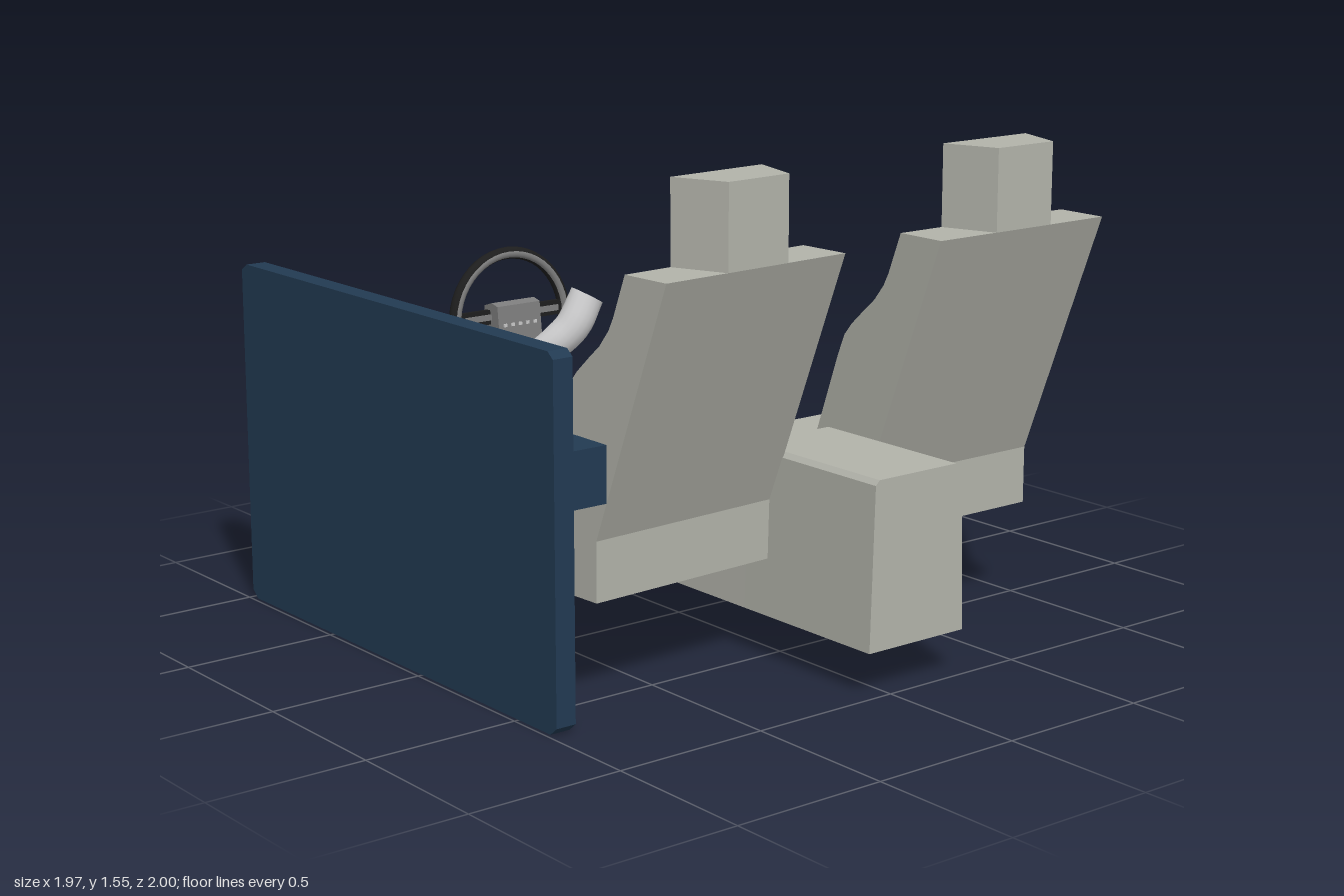
import * as THREE from 'three';
import { toCreasedNormals } from 'three/addons/utils/BufferGeometryUtils.js';

const mat = (name, color, extra = {}) => new THREE.MeshStandardMaterial({ name, color, ...extra });
const V = (x, y, z) => new THREE.Vector3(x, y, z);

export function createModel() {
  const seatGrey = mat('seat grey', 0xb2b3aa);
  const doorBlue = mat('door blue', 0x223a52);
  const black = mat('wheel black', 0x1d1d1d);
  const hubGrey = mat('hub grey', 0x7c7c7c);
  const buttonGrey = mat('button light grey', 0xc4c4c4);
  const skin = mat('arm pale grey', 0xcfcfd0, { side: THREE.DoubleSide });
  const model = new THREE.Group();

  const add = (parent, name, geometry, material, x = 0, y = 0, z = 0) => {
    const m = new THREE.Mesh(geometry, material);
    m.name = name;
    m.position.set(x, y, z);
    parent.add(m);
    return m;
  };
  const group = (name, parent = model) => {
    const g = new THREE.Group();
    g.name = name;
    parent.add(g);
    return g;
  };

  // Skin between equal rings, each running counter-clockwise about the loft direction
  const loft = (rings, capStart, capEnd, crease) => {
    const n = rings[0].length, pos = rings.flat().flatMap(p => p.toArray()), idx = [];
    const last = (rings.length - 1) * n;
    for (let i = 0; i < last; i += n) {
      for (let j = 0; j < n; j++) {
        const a = i + j, b = i + (j + 1) % n;
        idx.push(a, b, a + n, b, b + n, a + n);
      }
    }
    for (let j = 1; j < n - 1; j++) {
      if (capStart) idx.push(0, j + 1, j);
      if (capEnd) idx.push(last, last + j, last + j + 1);
    }
    const g = new THREE.BufferGeometry();
    g.setAttribute('position', new THREE.Float32BufferAttribute(pos, 3));
    g.setIndex(idx);
    if (crease) return toCreasedNormals(g, crease);
    g.computeVertexNormals();
    return g;
  };

  // Tapered tube along a smooth path; radii are spread evenly along it
  const limb = (points, radii, steps, sides, capEnd) => {
    const curve = new THREE.CatmullRomCurve3(points);
    const f = curve.computeFrenetFrames(steps);
    const rings = [];
    for (let i = 0; i <= steps; i++) {
      const t = i / steps, c = curve.getPointAt(t);
      const k = Math.min(t * (radii.length - 1), radii.length - 1.001), k0 = Math.floor(k);
      const r = THREE.MathUtils.lerp(radii[k0], radii[k0 + 1], k - k0);
      rings.push(Array.from({ length: sides }, (_, j) => {
        const a = j / sides * Math.PI * 2;
        return c.clone().addScaledVector(f.normals[i], r * Math.cos(a)).addScaledVector(f.binormals[i], r * Math.sin(a));
      }));
    }
    return loft(rings, false, capEnd);
  };

  const polygon = pts => new THREE.Shape(pts.map(p => new THREE.Vector2(...p)));
  // Side profile of [z, y] points extruded across x
  const sideExtrude = (pts, x0, x1) =>
    new THREE.ExtrudeGeometry(polygon(pts.map(([z, y]) => [-z, y])), { depth: x1 - x0, bevelEnabled: false })
      .rotateY(Math.PI / 2).translate(x0, 0, 0);

  // ---- Seats ----
  const half = 0.343;
  const cushionGeo = sideExtrude([[-0.54, 0.32], [0.24, 0.32], [0.24, 0.505], [-0.5, 0.505], [-0.53, 0.495], [-0.54, 0.475]], -half, half);
  // backrest rings: [height, bolster depth]
  const stations = [[0.505, 0.1], [0.7, 0.105], [0.88, 0.11], [0.95, 0.108], [0.99, 0.09], [1.04, 0.055], [1.08, 0.025], [1.13, 0.005], [1.17, 0], [1.3, 0]];
  const backGeo = loft(stations.map(([y, depth]) => {
    const lean = (y - 0.505) * 0.39;
    const ring = [];
    for (let i = 0; i <= 24; i++) {
      const x = half - i / 24 * 2 * half;
      ring.push(V(x, y, 0.06 + lean - depth * THREE.MathUtils.smoothstep(Math.abs(x), 0.17, 0.32)));
    }
    ring.push(V(-half, y, 0.24 + lean * 0.98), V(half, y, 0.24 + lean * 0.98));
    return ring;
  }), false, true, 0.6);
  const headGeo = new THREE.ExtrudeGeometry(polygon([[-0.175, -0.37], [0.175, -0.37], [0.115, -0.545], [-0.115, -0.545]]),
    { depth: 0.255, bevelEnabled: false }).rotateX(-Math.PI / 2);
  for (const [name, x, z, turn] of [['passengerSeat', 0.641, 0.32, 0], ['driverSeat', -0.425, 0.31, 0.055]]) {
    const seat = group(name);
    seat.position.set(x, 0, z);
    seat.rotation.y = turn;
    add(seat, 'cushion', cushionGeo, seatGrey);
    add(seat, 'backrest', backGeo, seatGrey);
    add(seat, 'headrest', headGeo, seatGrey, 0, 1.3, 0);
  }

  // ---- Centre console: low front, raised rear box ----
  const consolePart = (name, top, z0, z1) => add(model, name, new THREE.ExtrudeGeometry(polygon([
    [-0.085, 0.14], [0.29, 0.14], [0.275, top - 0.035], [0.268, top - 0.012], [0.25, top], [-0.055, top], [-0.07, top - 0.015],
  ]), { depth: z1 - z0, bevelEnabled: false }), seatGrey, 0, 0, z0);
  consolePart('consoleFront', 0.56, -0.222, 0.43);
  consolePart('consoleBox', 0.66, 0.43, 0.998);

  // ---- Door ----
  const door = group('door');
  add(door, 'doorPanel', sideExtrude([[-0.97, 0], [0.655, 0], [0.685, 0.025], [0.685, 1.09], [0.66, 1.11], [-0.97, 1.11], [-1, 1.09], [-1, 0.025]], -0.985, -0.918), doorBlue);
  add(door, 'doorRearTrim', sideExtrude([[-0.12, 0.02], [0.66, 0.02], [0.66, 0.64], [-0.1, 0.64], [-0.14, 0.58]], -0.918, -0.911), doorBlue);
  add(door, 'doorUpperTrim', sideExtrude([[-0.12, 1.1], [0.62, 1.1], [0.58, 1.05], [-0.09, 1.05]], -0.918, -0.911), doorBlue);
  add(door, 'doorFrontTrim', sideExtrude([[-0.16, 0.02], [-0.965, 0.03], [-0.965, 1.09], [-0.14, 1.09], [-0.11, 1.02], [-0.15, 0.8], [-0.11, 0.7]], -0.918, -0.911), doorBlue);
  add(door, 'armrest', sideExtrude([[-0.08, 0.65], [0.68, 0.65], [0.68, 0.82], [-0.11, 0.82], [-0.12, 0.8], [-0.12, 0.7]], -0.92, -0.8), doorBlue);

  // ---- Steering wheel and column ----
  const wheel = group('steeringWheel');
  wheel.position.set(-0.455, 0.98, -0.272);
  wheel.rotation.x = -0.07;
  add(wheel, 'rim', new THREE.TorusGeometry(0.206, 0.019, 12, 48), black);
  add(wheel, 'rimGrip', new THREE.TorusGeometry(0.204, 0.014, 10, 48), hubGrey, 0, 0, 0.0065);
  add(wheel, 'hub', sideExtrude([[-0.02, -0.09], [0.03, -0.1], [0.055, -0.07], [0.05, 0.05], [0.02, 0.06], [-0.02, 0.05]], -0.08, 0.08), hubGrey);
  for (const s of [-1, 1]) {
    add(wheel, 'sideSpoke', new THREE.BoxGeometry(0.13, 0.045, 0.02), black, s * 0.135, 0.015, 0);
    add(wheel, 'spokeTrim', new THREE.BoxGeometry(0.1, 0.018, 0.008), hubGrey, s * 0.125, 0.015, 0.013);
    add(wheel, 'lowerSpoke', new THREE.BoxGeometry(0.022, 0.13, 0.02), hubGrey, s * 0.03, -0.14, 0);
  }
  for (let i = -2; i <= 2; i++)
    add(wheel, 'button', new THREE.BoxGeometry(0.012, 0.01, 0.006), buttonGrey, i * 0.028, -0.01, 0.053);
  add(model, 'columnNeck', new THREE.CylinderGeometry(0.05, 0.05, 0.09, 20).rotateX(Math.PI / 2), black, -0.455, 0.925, -0.31);
  add(model, 'columnHousing', sideExtrude([[-0.335, 0.845], [-0.365, 0.845], [-0.375, 0.86], [-0.458, 0.86], [-0.458, 0.962], [-0.335, 0.968]], -0.54, -0.368), black);

  // ---- Forearms with hands ----
  const buildArm = (name, path, target, side) => {
    const arm = group(name);
    add(arm, 'forearm', limb(path, [0.05, 0.052, 0.05, 0.043, 0.034, 0.026, 0.024], 28, 18, true), skin);
    const hand = group('hand', arm);
    hand.position.copy(path[path.length - 1]);
    hand.lookAt(target);
    const palm = add(hand, 'palm', new THREE.SphereGeometry(1, 18, 12), skin, 0, 0, 0.035);
    palm.scale.set(0.037, 0.019, 0.055);
    // fingers from thumb side to little finger: offset, spread, length
    for (const [x, spread, len] of [[0.025, 0.012, 0.078], [0.009, 0.004, 0.088], [-0.008, -0.006, 0.082], [-0.024, -0.02, 0.066]]) {
      add(hand, 'finger', limb([V(side * x, 0, 0.06), V(side * (x + spread * 0.6), 0.008, 0.06 + len * 0.5), V(side * (x + spread), -0.008, 0.06 + len)],
        [0.0105, 0.0095, 0.006], 8, 8, true), skin);
    }
    add(hand, 'thumb', limb([V(side * 0.015, -0.004, 0.015), V(side * 0.05, -0.008, 0.045), V(side * 0.06, -0.01, 0.09)],
      [0.015, 0.012, 0.007], 8, 8, true), skin);
  };
  buildArm('rightArm', [V(-0.2, 1.18, 0.445), V(-0.15, 1.09, 0.44), V(-0.06, 1.01, 0.405), V(0.02, 0.95, 0.335), V(0.085, 0.885, 0.25)],
    V(0.155, 0.795, 0.13), 1);
  buildArm('leftArm', [V(-0.64, 1.18, 0.38), V(-0.69, 1.09, 0.37), V(-0.765, 1.015, 0.32), V(-0.825, 0.955, 0.235), V(-0.86, 0.9, 0.14)],
    V(-0.875, 0.835, 0), -1);

  return model;
}
